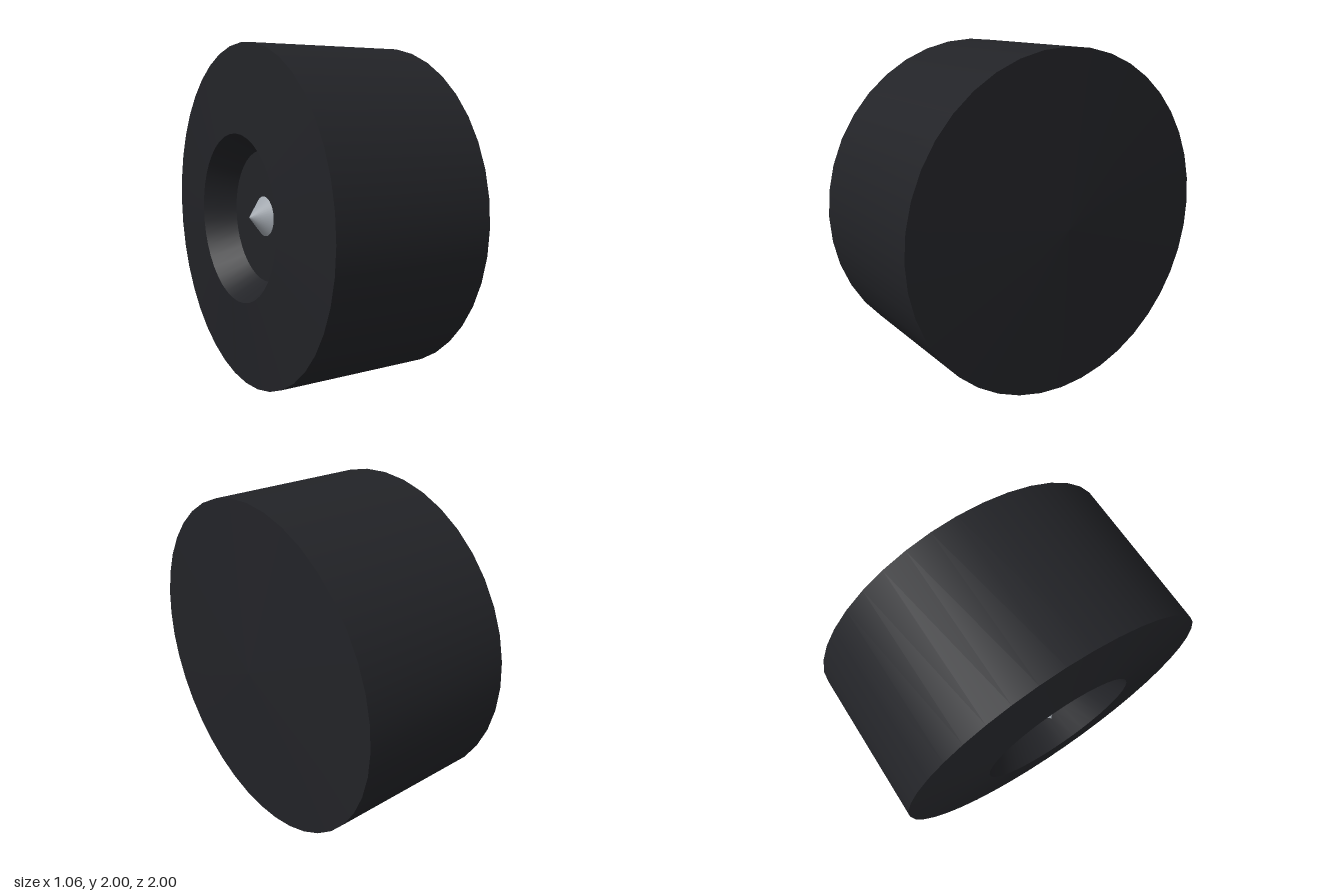
import * as THREE from 'three';

const SIDES = 40;

export function createModel() {
  const model = new THREE.Group();
  const wheel = new THREE.Group();
  wheel.name = 'wheel';
  const rubber = new THREE.MeshStandardMaterial({ color: 0x222327 });
  const metal = new THREE.MeshStandardMaterial({ color: 0xa0a6ad });

  // One smooth band turned about the axle; separate bands keep the edges sharp
  const band = (name, material, from, to) => {
    const profile = [from, to].map(([radius, along]) => new THREE.Vector2(radius, along));
    const mesh = new THREE.Mesh(new THREE.LatheGeometry(profile, SIDES), material);
    mesh.name = name;
    wheel.add(mesh);
  };

  // Profile corners as [radius, position along the axle], inner side to outer side
  const floorCentre = [0, -0.35];
  const floorEdge = [0.39, -0.35];
  const recessRim = [0.49, -0.53];
  const innerShoulder = [1, -0.485];
  const outerShoulder = [1, 0.485];
  const outerCentre = [0, 0.527];

  band('recessFloor', rubber, floorCentre, floorEdge);
  band('recessWall', rubber, floorEdge, recessRim);
  band('innerSidewall', rubber, recessRim, innerShoulder);
  band('tread', rubber, innerShoulder, outerShoulder);
  band('outerSidewall', rubber, outerShoulder, outerCentre);

  // Pointed axle stub in the recess
  band('axleTip', metal, [0, -0.45], [0.118, -0.35]);

  // Lay the axle along x and stand the wheel on the ground
  wheel.rotation.z = -Math.PI / 2;
  wheel.position.y = 1;
  model.add(wheel);
  return model;
}
